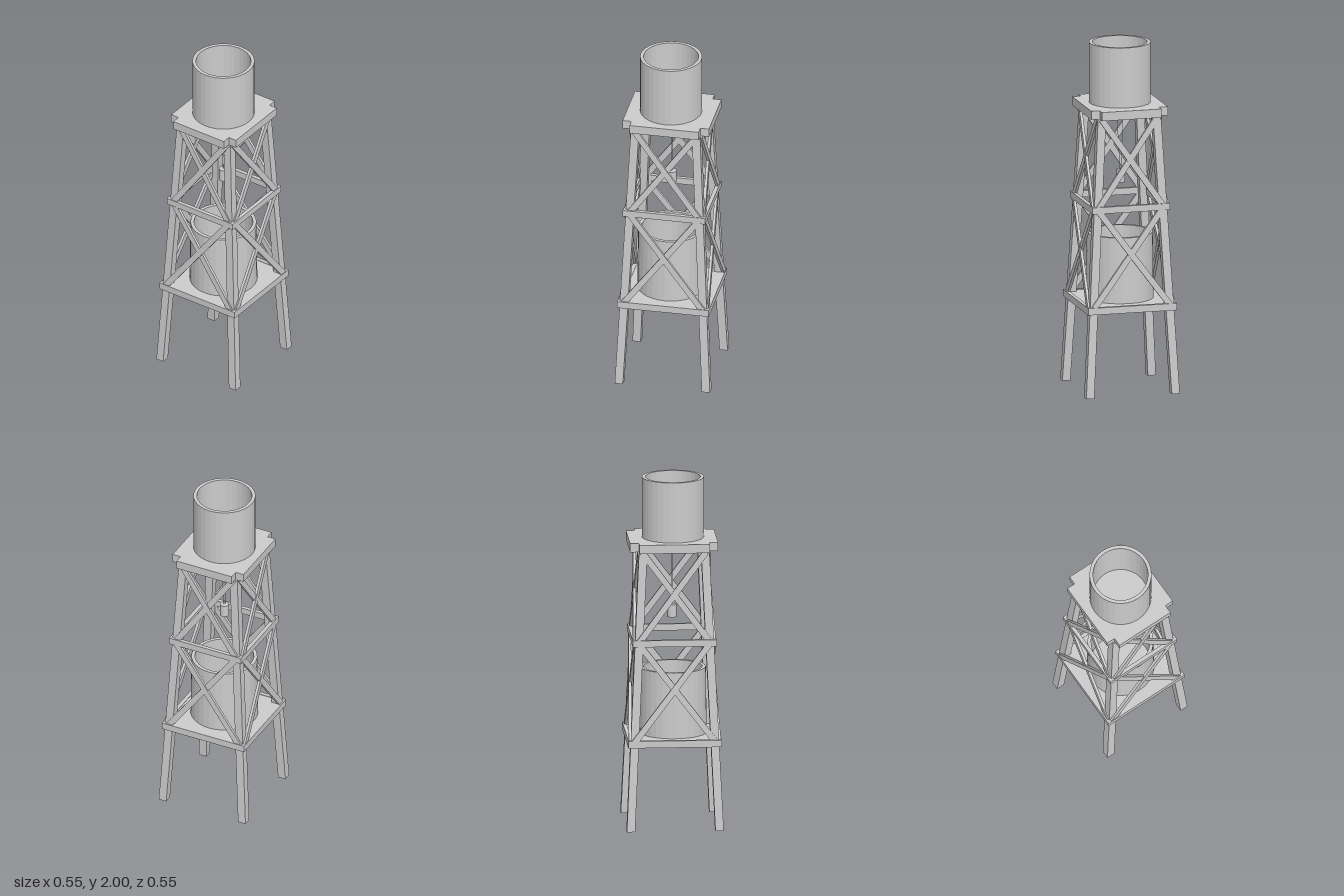
import * as THREE from 'three';

const V = (x, y, z) => new THREE.Vector3(x, y, z);

export function createModel() {
  const model = new THREE.Group();
  model.name = 'waterTower';
  const mat = new THREE.MeshStandardMaterial({ color: 0xcccccc, flatShading: true });

  function add(name, geometry, x = 0, y = 0, z = 0) {
    const mesh = new THREE.Mesh(geometry, mat);
    mesh.name = name;
    mesh.position.set(x, y, z);
    model.add(mesh);
    return mesh;
  }

  // Outer face of the tapering legs at a given height
  const outerX = y => 0.275 - 0.09 * y / 1.6;
  const outerZ = y => 0.275 - 0.075 * y / 1.6;

  // Flat bar from a to b; its thickness runs along the given normal
  function bar(name, a, b, width, depth, normal) {
    const along = b.clone().sub(a);
    const mesh = add(name, new THREE.BoxGeometry(along.length(), width, depth));
    const dir = along.normalize();
    const up = normal.clone().cross(dir).normalize();
    const out = dir.clone().cross(up);
    mesh.quaternion.setFromRotationMatrix(new THREE.Matrix4().makeBasis(dir, up, out));
    mesh.position.copy(a).add(b).multiplyScalar(0.5);
  }

  // Leaning legs: a box sheared inwards so both ends stay level
  const legSize = 0.047, legHeight = 1.6;
  for (const sx of [-1, 1]) for (const sz of [-1, 1]) {
    const geo = new THREE.BoxGeometry(legSize, legHeight, legSize);
    geo.translate(0, legHeight / 2, 0);
    const p = geo.attributes.position;
    for (let i = 0; i < p.count; i++) {
      const y = p.getY(i);
      p.setX(i, p.getX(i) + sx * (outerX(y) - legSize / 2));
      p.setZ(i, p.getZ(i) + sz * (outerZ(y) - legSize / 2));
    }
    geo.computeVertexNormals();
    add('leg', geo);
  }

  // Horizontal rings of beams around the legs
  for (const [y, h] of [[0.503, 0.04], [1.08, 0.038]]) {
    const x = outerX(y) + 0.014, z = outerZ(y) + 0.014, t = 0.022;
    for (const s of [-1, 1]) {
      add('ringBeam', new THREE.BoxGeometry(2 * x, h, t), 0, y, s * (z - t / 2));
      add('ringBeam', new THREE.BoxGeometry(t, h, 2 * (z - t)), s * (x - t / 2), y, 0);
    }
  }

  // Crossed braces in both bays on all four sides
  for (const [y0, y1] of [[0.51, 1.08], [1.08, 1.6]]) {
    const inset = 0.02;
    for (const side of [-1, 1]) for (const s of [-1, 1]) {
      const gap = 0.001 + 0.002 * s;
      const z0 = side * (outerZ(y0) + gap), z1 = side * (outerZ(y1) + gap);
      bar('brace', V(-s * (outerX(y0) - inset), y0, z0), V(s * (outerX(y1) - inset), y1, z1),
        0.035, 0.016, V(0, 0, side));
      const x0 = side * (outerX(y0) + gap), x1 = side * (outerX(y1) + gap);
      bar('brace', V(x0, y0, -s * (outerZ(y0) - inset)), V(x1, y1, s * (outerZ(y1) - inset)),
        0.035, 0.016, V(side, 0, 0));
    }
  }

  // Lower floor
  add('lowerPlatform', new THREE.BoxGeometry(0.49, 0.03, 0.5), 0, 0.505, 0);

  // Upper floor with a square notch at each corner
  const X = 0.225, Z = 0.25, n = 0.05;
  const outline = [
    [X - n, -Z], [X - n, n - Z], [X, n - Z], [X, Z - n], [X - n, Z - n], [X - n, Z],
    [n - X, Z], [n - X, Z - n], [-X, Z - n], [-X, n - Z], [n - X, n - Z], [n - X, -Z],
  ].map(([x, z]) => new THREE.Vector2(x, z));
  const floor = new THREE.ExtrudeGeometry(new THREE.Shape(outline), { depth: 0.05, bevelEnabled: false });
  floor.rotateX(-Math.PI / 2);
  add('upperPlatform', floor, 0, 1.602, 0);

  // Open-topped tanks with a wall thickness
  function tank(name, y0, y1, rBottom, rTop, wall) {
    const profile = [
      [0, y0], [rBottom, y0], [rTop, y1], [rTop - wall, y1], [rBottom - wall, y0 + 0.005], [0, y0 + 0.005],
    ].map(([r, y]) => new THREE.Vector2(r, y));
    add(name, new THREE.LatheGeometry(profile, 32), 0, 0, 0.005);
  }
  tank('upperTank', 1.65, 2, 0.176, 0.176, 0.02);
  tank('lowerTank', 0.52, 0.9, 0.192, 0.187, 0.02);

  // Bucket hanging from a block under the upper floor
  add('pulleyBlock', new THREE.BoxGeometry(0.04, 0.026, 0.1), 0, 1.589, 0);
  add('bucket', new THREE.CylinderGeometry(0.026, 0.026, 0.072, 16), -0.003, 1.224, 0);
  for (const s of [-1, 1]) {
    const path = new THREE.LineCurve3(V(s * 0.018, 1.58, 0), V(-0.003 + s * 0.003, 1.255, 0));
    add('rope', new THREE.TubeGeometry(path, 1, 0.0015, 5));
  }

  return model;
}
